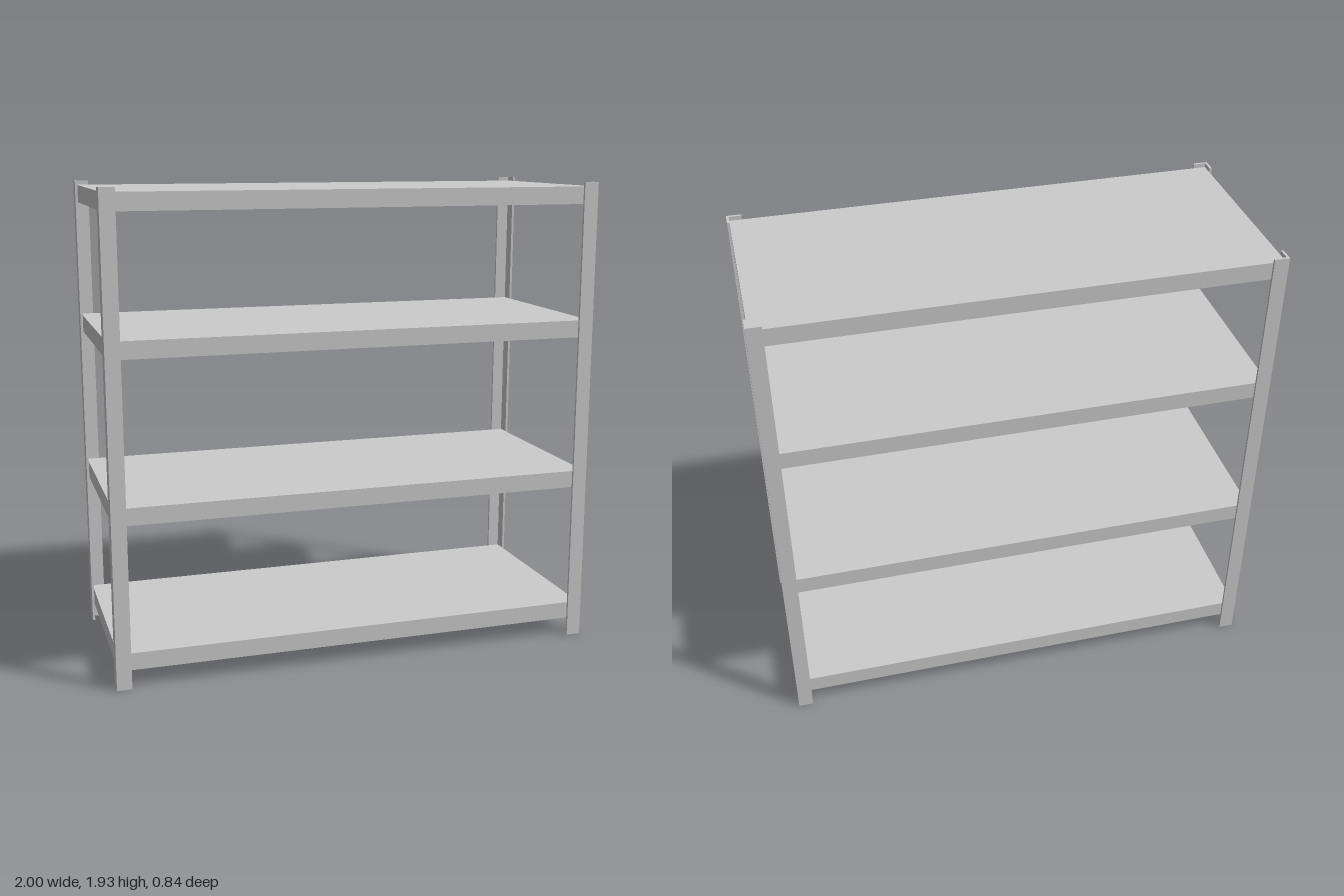
import * as THREE from 'three';

const HX = 1, HZ = 0.42, HEIGHT = 1.93;   // half width, half depth, post height
const T = 0.01, LEG = 0.06;               // sheet thickness, angle-post flange width
const SHELF_H = 0.07;
const SHELF_BOTTOMS = [0.075, 0.66, 1.3, 1.843];

const material = new THREE.MeshStandardMaterial({ color: 0xcccccc });

// Extrudes a plan outline (x, z) upwards
function extrudeUp(shape, height) {
  const geometry = new THREE.ExtrudeGeometry(shape, { depth: height, bevelEnabled: false });
  return geometry.rotateX(-Math.PI / 2);
}

function rectPoints(hx, hz) {
  return [[-hx, -hz], [hx, -hz], [hx, hz], [-hx, hz]].map(([x, z]) => new THREE.Vector2(x, z));
}

// L-section upright at the corner given by the two signs
function makePost(sx, sz) {
  const outline = [
    [HX, HZ], [HX - LEG, HZ], [HX - LEG, HZ - T],
    [HX - T, HZ - T], [HX - T, HZ - LEG], [HX, HZ - LEG],
  ].map(([x, z]) => new THREE.Vector2(x * sx, -z * sz));
  const post = new THREE.Mesh(extrudeUp(new THREE.Shape(outline), HEIGHT), material);
  post.name = `${sz > 0 ? 'front' : 'back'}${sx > 0 ? 'Left' : 'Right'}Post`;
  return post;
}

// Shelf as an upside-down tray: flat panel on a folded rim, open below
function makeShelf(y) {
  const shelf = new THREE.Group();
  const hx = HX - T, hz = HZ - T;

  const rimShape = new THREE.Shape(rectPoints(hx, hz));
  rimShape.holes.push(new THREE.Path(rectPoints(hx - T, hz - T)));
  const rim = new THREE.Mesh(extrudeUp(rimShape, SHELF_H - T), material);
  rim.name = 'shelfRim';

  const panel = new THREE.Mesh(new THREE.BoxGeometry(2 * hx, T, 2 * hz), material);
  panel.position.y = SHELF_H - T / 2;
  panel.name = 'shelfPanel';

  shelf.add(rim, panel);
  shelf.position.y = y;
  return shelf;
}

export function createModel() {
  const model = new THREE.Group();
  model.name = 'shelvingUnit';

  for (const sx of [-1, 1]) for (const sz of [-1, 1]) model.add(makePost(sx, sz));

  SHELF_BOTTOMS.forEach((y, i) => {
    const shelf = makeShelf(y);
    shelf.name = `shelf${i + 1}`;
    model.add(shelf);
  });
  return model;
}
